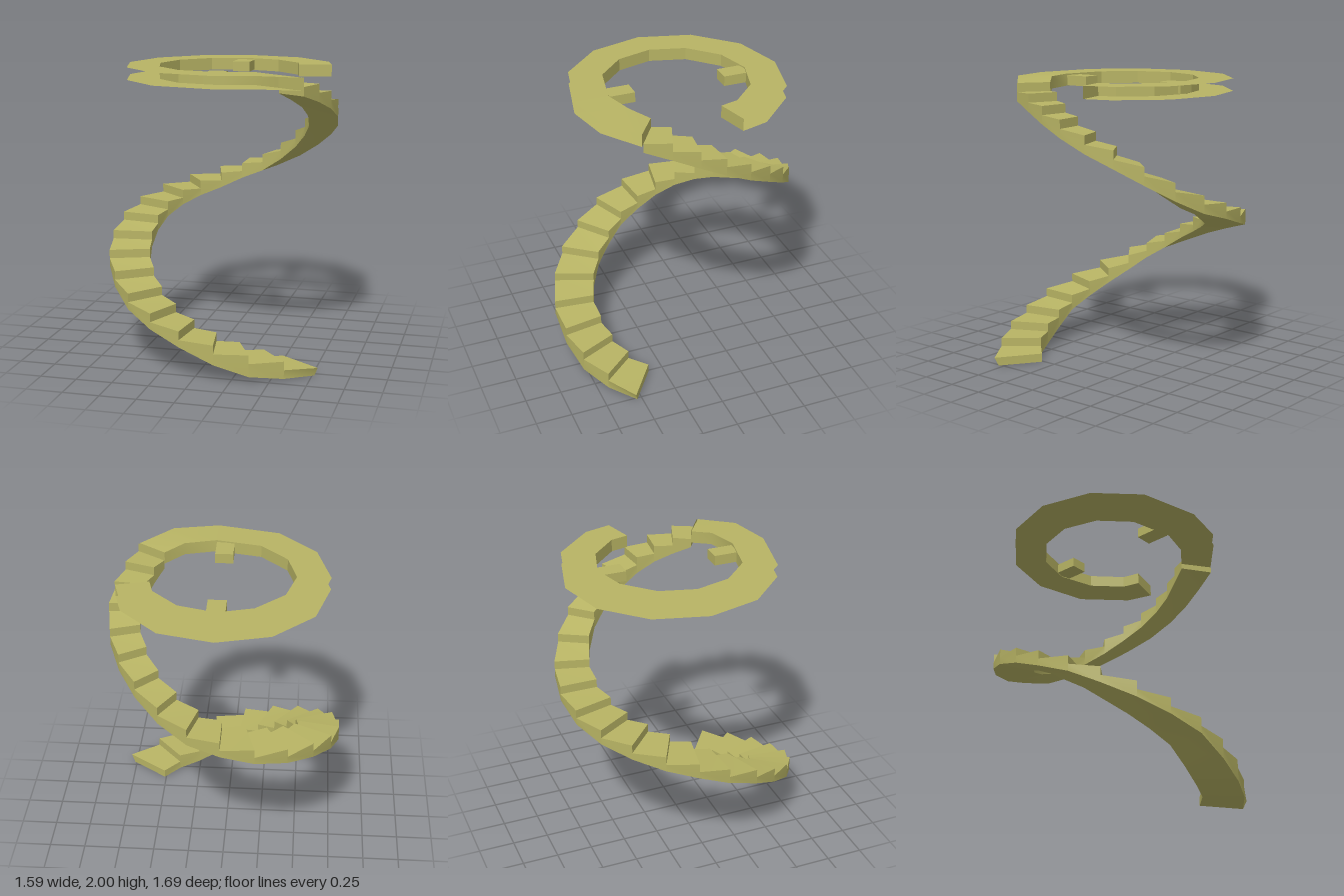
import * as THREE from 'three';
import { toCreasedNormals } from 'three/addons/utils/BufferGeometryUtils.js';

const material = new THREE.MeshStandardMaterial({ color: 0xb8b464, side: THREE.DoubleSide });

// Collects quads (corners counter-clockwise from the front) into one mesh
function quadMesh(name, quads) {
  const pos = [];
  for (const [a, b, c, d] of quads) pos.push(...a, ...b, ...c, ...a, ...c, ...d);
  const geo = new THREE.BufferGeometry();
  geo.setAttribute('position', new THREE.Float32BufferAttribute(pos, 3));
  const mesh = new THREE.Mesh(toCreasedNormals(geo, 0.5), material);
  mesh.name = name;
  return mesh;
}

const at = ([x, z], y) => [x, y, z];

// Plan of the stair's outer edge, one point per riser
const stairOuter = [
  [0.79, 0.55], [0.586, 0.679], [0.372, 0.786], [0.145, 0.838], [-0.087, 0.843],
  [-0.305, 0.773], [-0.497, 0.653], [-0.648, 0.479], [-0.75, 0.292], [-0.797, 0.069],
  [-0.79, -0.149], [-0.733, -0.363], [-0.612, -0.555], [-0.443, -0.71], [-0.229, -0.81],
  [-0.004, -0.845], [0.212, -0.815], [0.408, -0.724], [0.568, -0.595], [0.688, -0.439],
  [0.764, -0.265], [0.792, -0.082], [0.773, 0.087], [0.719, 0.256], [0.648, 0.425],
];
// Height of each tread at its leading edge
const treadHeight = [
  0.06, 0.13, 0.19, 0.255, 0.335, 0.42, 0.51, 0.61, 0.71, 0.8, 0.89, 0.965, 1.03,
  1.085, 1.14, 1.21, 1.285, 1.385, 1.495, 1.6, 1.69, 1.78, 1.855, 1.92, 1.975,
];
const RISER = 0.06;

// The flight narrows as it climbs
function stairWidth(i) {
  if (i === 0) return 0.34;
  if (i < 15) return 0.283;
  if (i < 18) return 0.26 - (i - 15) * 0.02;
  return i < 23 ? 0.205 : 0.205 + (i - 22) * 0.0125;
}

// Underside height: follows the treads, flattening out at the foot
function soffit(i) {
  const foot = [0, 0.01, 0.04, 0.12];
  return i < 4 ? foot[i] : treadHeight[i] - (i < 16 ? 0.11 : 0.122);
}

function createStairs() {
  const inner = stairOuter.map(([x, z], i) => {
    const k = 1 - stairWidth(i) / Math.hypot(x, z);
    return [x * k, z * k];
  });
  // The first end face leans in slightly at its base
  const low = stairOuter.map((p, i) => (i === 0 ? [0.765, 0.535] : p));
  const quads = [];
  const last = stairOuter.length - 1;
  for (let i = 0; i < last; i++) {
    const j = i + 1;
    const y0 = treadHeight[i], y1 = treadHeight[j] - RISER;
    const b0 = soffit(i), b1 = soffit(j);
    const back = i === 0 ? b0 : y0 - RISER;
    const O0 = stairOuter[i], O1 = stairOuter[j], I0 = inner[i], I1 = inner[j];
    quads.push(
      [at(I0, y0), at(I1, y1), at(O1, y1), at(O0, y0)], // tread
      [at(low[i], back), at(I0, back), at(I0, y0), at(O0, y0)], // riser
      [at(low[i], b0), at(O0, y0), at(O1, y1), at(O1, b1)], // outer side
      [at(I0, b0), at(I1, b1), at(I1, y1), at(I0, y0)], // inner side
      [at(low[i], b0), at(O1, b1), at(I1, b1), at(I0, b0)], // underside
    );
  }
  // End face at the top of the flight
  const O = stairOuter[last], I = inner[last], y = treadHeight[last], b = soffit(last);
  quads.push([at(O, y), at(I, y), at(I, b), at(O, b)]);
  return quadMesh('spiralStairs', quads);
}

// Plan of the landing ring, from the free end round to the stair head
const ringOuter = [
  [0.72, -0.22], [0.666, -0.408], [0.403, -0.675], [0.035, -0.764], [-0.323, -0.67], [-0.59, -0.403],
  [-0.688, -0.038], [-0.59, 0.327], [-0.327, 0.595], [0.103, 0.693], [0.42, 0.626], [0.638, 0.43],
];
const ringInner = [
  [0.501, -0.163], [0.47, -0.287], [0.292, -0.465], [0.038, -0.537], [-0.203, -0.47], [-0.394, -0.283],
  [-0.461, -0.038], [-0.394, 0.207], [-0.207, 0.394], [0.105, 0.461], [0.323, 0.399], [0.452, 0.3],
];

function createLanding() {
  const group = new THREE.Group();
  group.name = 'landing';
  const last = ringOuter.length - 1;
  const top = (i) => (i === last ? 1.975 : 2);
  const bottom = (i) => (i === last ? 1.89 : 1.915);
  const plates = [];
  const wall = [];
  for (let i = 0; i < last; i++) {
    const j = i + 1;
    const O0 = ringOuter[i], O1 = ringOuter[j], I0 = ringInner[i], I1 = ringInner[j];
    plates.push(
      [at(I0, top(i)), at(O0, top(i)), at(O1, top(j)), at(I1, top(j))],
      [at(I0, bottom(i)), at(I1, bottom(j)), at(O1, bottom(j)), at(O0, bottom(i))],
    );
    wall.push([at(I0, bottom(i)), at(I0, top(i)), at(I1, top(j)), at(I1, bottom(j))]);
  }
  // End faces; the outer rim is left open
  const cap = (i) => [
    at(ringInner[i], bottom(i)), at(ringOuter[i], bottom(i)),
    at(ringOuter[i], top(i)), at(ringInner[i], top(i)),
  ];
  group.add(quadMesh('landingFloorAndSoffit', plates));
  group.add(quadMesh('landingInnerWall', wall));
  group.add(quadMesh('landingEnds', [cap(0), cap(last).reverse()]));

  // Small blocks projecting into the opening
  for (const [name, z0, z1] of [['backBlock', -0.537, -0.36], ['frontBlock', 0.275, 0.45]]) {
    const block = new THREE.Mesh(new THREE.BoxGeometry(0.124, 0.07, z1 - z0), material);
    block.name = name;
    block.position.set(0.041, 1.955, (z0 + z1) / 2);
    group.add(block);
  }
  return group;
}

export function createModel() {
  const model = new THREE.Group();
  model.name = 'spiralStaircase';
  model.add(createStairs(), createLanding());
  return model;
}
